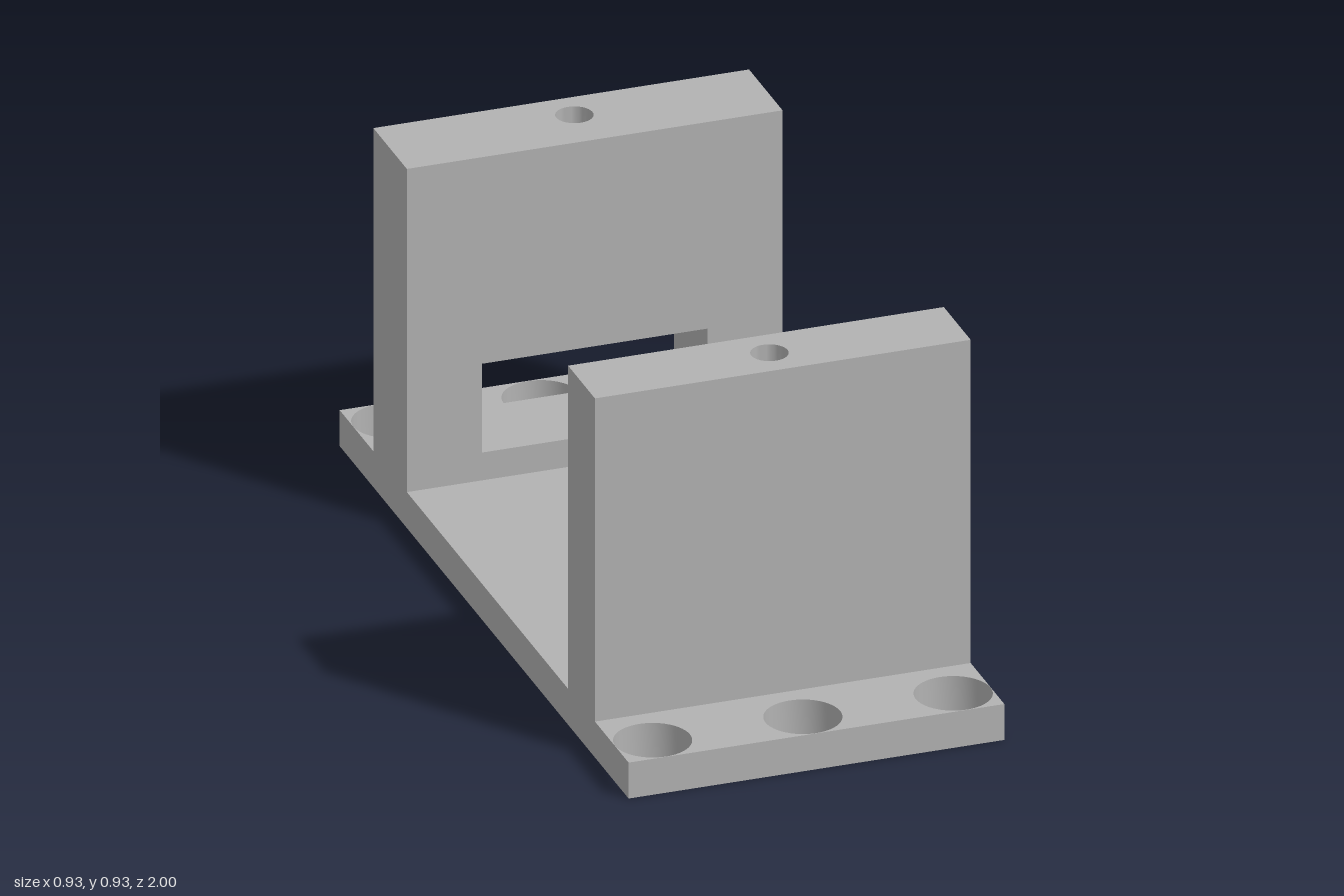
import * as THREE from 'three';
import { toCreasedNormals } from 'three/addons/utils/BufferGeometryUtils.js';

const HALF_W = 0.465, BASE_H = 0.093, TOP = 0.93;
const PIN_R = 0.045, PIN_DEPTH = 0.28;

function rect(x0, y0, x1, y1, Type = THREE.Shape) {
  const s = new Type();
  s.moveTo(x0, y0);
  s.lineTo(x1, y0);
  s.lineTo(x1, y1);
  s.lineTo(x0, y1);
  s.closePath();
  return s;
}

function circle(x, y, r) {
  const p = new THREE.Path();
  p.absarc(x, y, r, 0, Math.PI * 2, true);
  return p;
}

// Removes the flat faces lying at the given height
function dropFacesAt(geometry, y) {
  const src = geometry.toNonIndexed().attributes.position;
  const kept = [];
  for (let i = 0; i < src.count; i += 3) {
    if ([0, 1, 2].every(k => Math.abs(src.getY(i + k) - y) < 1e-5)) continue;
    for (let k = 0; k < 3; k++) kept.push(src.getX(i + k), src.getY(i + k), src.getZ(i + k));
  }
  const out = new THREE.BufferGeometry();
  out.setAttribute('position', new THREE.Float32BufferAttribute(kept, 3));
  out.computeVertexNormals();
  return out;
}

export function createModel() {
  const model = new THREE.Group();
  model.name = 'mountingBracket';
  const grey = new THREE.MeshStandardMaterial({ color: 0xb2b2b2 });
  grey.name = 'plainGrey';

  function add(parent, name, geometry) {
    const mesh = new THREE.Mesh(geometry, grey);
    mesh.name = name;
    parent.add(mesh);
  }

  // Base plate with three bolt holes at each end
  const plate = rect(-HALF_W, -1, HALF_W, 1);
  for (const z of [-0.906, 0.906])
    for (const x of [-0.372, 0, 0.372]) plate.holes.push(circle(x, z, 0.0925));
  const base = new THREE.ExtrudeGeometry(plate, { depth: BASE_H, bevelEnabled: false, curveSegments: 24 });
  base.rotateX(-Math.PI / 2);
  add(model, 'basePlate', toCreasedNormals(base, 0.6));

  // Upright wall from z0 to z1, with a blind pin hole in its top
  function addWall(name, z0, z1, pinZ, hasWindow) {
    const wall = new THREE.Group();
    wall.name = name;
    model.add(wall);

    const face = rect(-HALF_W, BASE_H, HALF_W, TOP);
    if (hasWindow) face.holes.push(rect(-0.279, 0.165, 0.279, 0.395, THREE.Path));
    const body = new THREE.ExtrudeGeometry(face, { depth: z1 - z0, bevelEnabled: false });
    body.translate(0, 0, z0);
    add(wall, name + 'Body', dropFacesAt(dropFacesAt(body, TOP), BASE_H));

    const cap = rect(-HALF_W, -z1, HALF_W, -z0);
    cap.holes.push(circle(0, -pinZ, PIN_R));
    const top = new THREE.ShapeGeometry(cap, 16);
    top.rotateX(-Math.PI / 2).translate(0, TOP, 0);
    add(wall, name + 'Top', top);

    // Inside of the pin hole, traced downwards so it faces inwards
    const pin = new THREE.LatheGeometry([
      new THREE.Vector2(PIN_R, TOP),
      new THREE.Vector2(PIN_R, TOP - PIN_DEPTH),
      new THREE.Vector2(0, TOP - PIN_DEPTH),
    ], 32);
    pin.translate(0, 0, pinZ);
    add(wall, name + 'PinHole', toCreasedNormals(pin, 0.6));
  }

  addWall('frontWall', 0.581, 0.767, 0.674, false);
  addWall('backWall', -0.767, -0.535, -0.676, true);
  return model;
}
